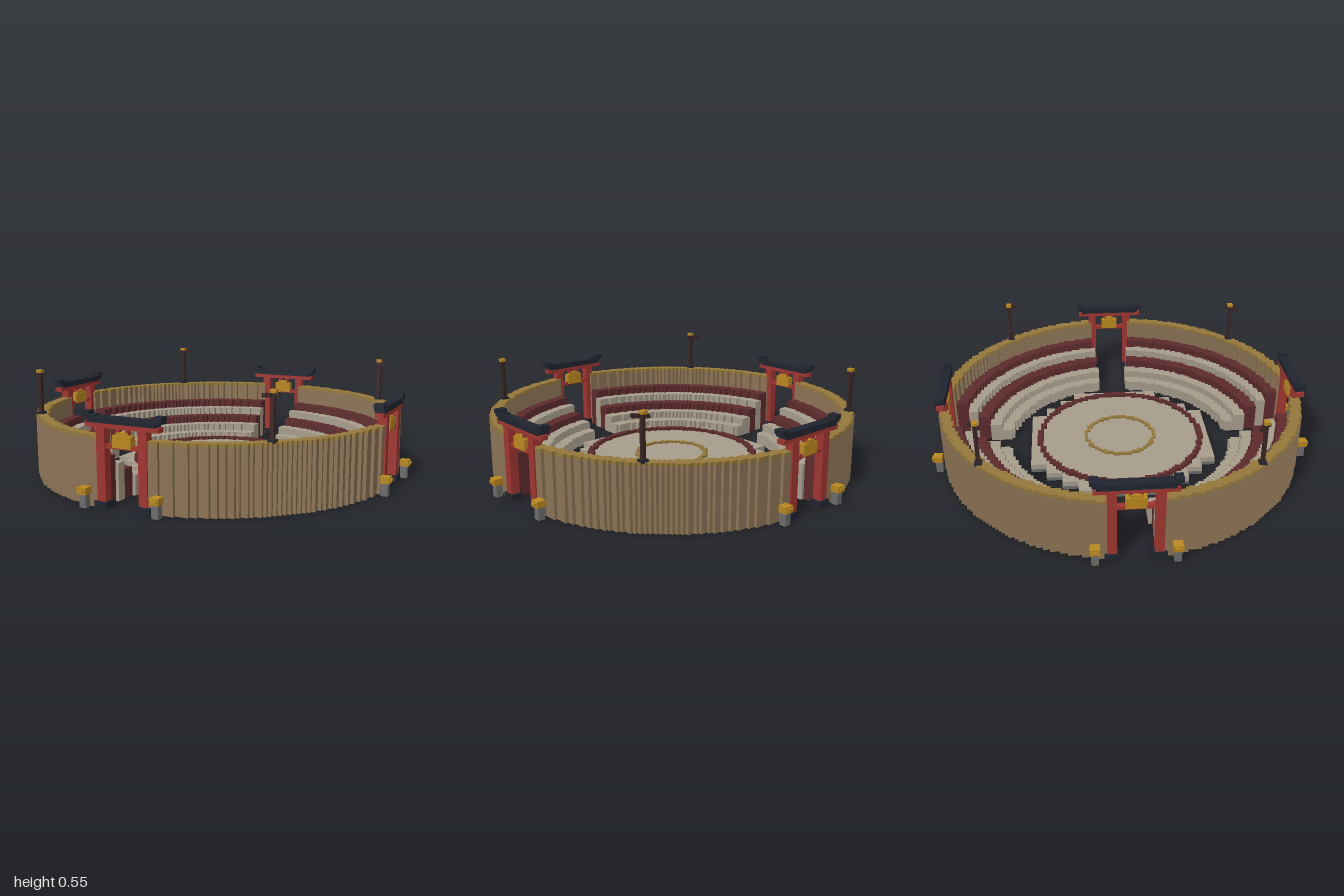
import * as THREE from 'three';
import { mergeGeometries } from 'three/addons/utils/BufferGeometryUtils.js';

const V = 0.0162; // block size

const mat = (name, color) => {
  const m = new THREE.MeshStandardMaterial({ color });
  m.name = name;
  return m;
};

// Box from its limits on each axis
function box(x0, x1, y0, y1, z0, z1) {
  return new THREE.BoxGeometry(x1 - x0, y1 - y0, z1 - z0)
    .translate((x0 + x1) / 2, (y0 + y1) / 2, (z0 + z1) / 2);
}

// Blocky ring between two radii, cut by a cross-shaped aisle of half width gap
function ring(r0, r1, y0, y1, gap = 0, v = V) {
  const parts = [];
  const n = Math.ceil(r1 / v);
  for (let k = -n; k < n; k++) {
    const z = (k + 0.5) * v;
    let start = null;
    for (let i = -n; i <= n; i++) {
      const x = (i + 0.5) * v, r = Math.hypot(x, z);
      const filled = i < n && r >= r0 && r <= r1 && Math.abs(x) > gap && Math.abs(z) > gap;
      if (filled && start === null) start = i;
      if (!filled && start !== null) {
        parts.push(box(start * v, i * v, y0, y1, k * v, (k + 1) * v));
        start = null;
      }
    }
  }
  return mergeGeometries(parts);
}

export function createModel() {
  const wood = mat('wall wood', 0x8b7355);
  const trim = mat('trim gold', 0x94783a);
  const stone = mat('pale stone', 0xa69c8b);
  const maroon = mat('maroon', 0x5c2a2c);
  const red = mat('lacquer red', 0xa03530);
  const navy = mat('dark navy', 0x20242f);
  const gold = mat('bright gold', 0xb8871f);
  const grey = mat('grey stone', 0x6c6c6c);
  const dark = mat('dark post wood', 0x3a2424);

  const model = new THREE.Group();
  model.name = 'arena';
  const add = (parent, name, geometry, material) => {
    const mesh = new THREE.Mesh(geometry, material);
    mesh.name = name;
    parent.add(mesh);
  };

  // Outer wall and its cap
  add(model, 'outerWall', ring(0.897, 0.948, 0, 0.31, 0.115), wood);
  add(model, 'wallCap', ring(0.897, 0.948, 0.31, 0.325, 0.115), trim);

  // Seating tiers, inside to outside: radii, height, aisle, colour
  [
    [0.60, 0.66, 0.06, 0.08, stone],
    [0.66, 0.72, 0.10, 0.08, stone],
    [0.72, 0.785, 0.14, 0.097, maroon],
    [0.785, 0.84, 0.18, 0.097, stone],
    [0.84, 0.897, 0.22, 0.113, maroon],
  ].forEach(([r0, r1, h, gap, m], i) => add(model, 'seatTier' + (i + 1), ring(r0, r1, 0, h, gap), m));

  // Central platform with its coarse stepped edge, and the two marker rings
  add(model, 'platformBase', ring(0, 0.5, 0, 0.018, 0, V * 5), grey);
  add(model, 'platform', ring(0, 0.5, 0.018, 0.046, 0, V * 5), stone);
  add(model, 'platformTop', ring(0, 0.43, 0.046, 0.05), stone);
  add(model, 'outerMarkerRing', ring(0.426, 0.45, 0.046, 0.066), maroon);
  add(model, 'innerMarkerRing', ring(0.176, 0.194, 0.05, 0.062), trim);

  // One gate, lantern pair and banner post per quarter turn
  for (let q = 0; q < 4; q++) {
    const side = new THREE.Group();
    side.name = 'gateSide' + (q + 1);
    side.rotation.y = q * Math.PI / 2;
    model.add(side);

    const gate = new THREE.Group();
    gate.name = 'gate';
    gate.position.z = 0.925;
    side.add(gate);
    for (const s of [-1, 1]) {
      // Box placed by centre and width, mirrored in x
      const pair = (x, w, y0, y1, d, z = 0) =>
        box(s * x - w / 2, s * x + w / 2, y0, y1, z - d / 2, z + d / 2);
      add(gate, 'pillar', pair(0.108, 0.044, 0.03, 0.37, 0.044), red);
      add(gate, 'pillarFoot', pair(0.11, 0.066, 0, 0.032, 0.06), navy);
      add(gate, 'roofTip', pair(0.185, 0.04, 0.413, 0.434, 0.048), navy);
      add(gate, 'roofEnd', pair(0.165, 0.06, 0.4, 0.42, 0.047), navy);
      add(gate, 'plaqueHanger', pair(0.024, 0.016, 0.343, 0.37, 0.02), red);
      add(gate, 'lanternPost', pair(0.187, 0.034, 0, 0.062, 0.034, 0.04), grey);
      add(gate, 'lantern', pair(0.187, 0.046, 0.062, 0.094, 0.046, 0.043), gold);
      add(gate, 'lanternKnob', pair(0.187, 0.03, 0.072, 0.086, 0.01, 0.069), gold);
    }
    add(gate, 'roofBeam', box(-0.175, 0.175, 0.386, 0.415, -0.024, 0.024), navy);
    add(gate, 'upperBeam', box(-0.19, 0.19, 0.365, 0.387, -0.02, 0.02), red);
    add(gate, 'lowerBeam', box(-0.155, 0.155, 0.274, 0.292, -0.014, 0.014), red);
    add(gate, 'plaque', box(-0.048, 0.048, 0.28, 0.336, -0.018, 0.018), gold);
    add(gate, 'plaqueTop', box(-0.03, 0.03, 0.336, 0.35, -0.015, 0.015), gold);

    // Post on the wall with a stepped arm along the wall's tangent
    const post = new THREE.Group();
    post.name = 'bannerPost';
    post.position.set(0.608, 0, 0.705);
    side.add(post);
    add(post, 'postBase', box(-0.018, 0.018, 0.32, 0.335, -0.018, 0.018), navy);
    add(post, 'postShaft', box(-0.009, 0.009, 0.33, 0.535, -0.009, 0.009), dark);
    const arm = [];
    for (let i = -1; i < 3; i++) {
      const c = i * 0.014;
      arm.push(box(-c - 0.009, -c + 0.009, 0.518, 0.535, c - 0.009, c + 0.009));
    }
    add(post, 'postArm', mergeGeometries(arm), dark);
    add(post, 'postCap', box(-0.012, 0.016, 0.535, 0.55, -0.016, 0.012), gold);
  }
  return model;
}
